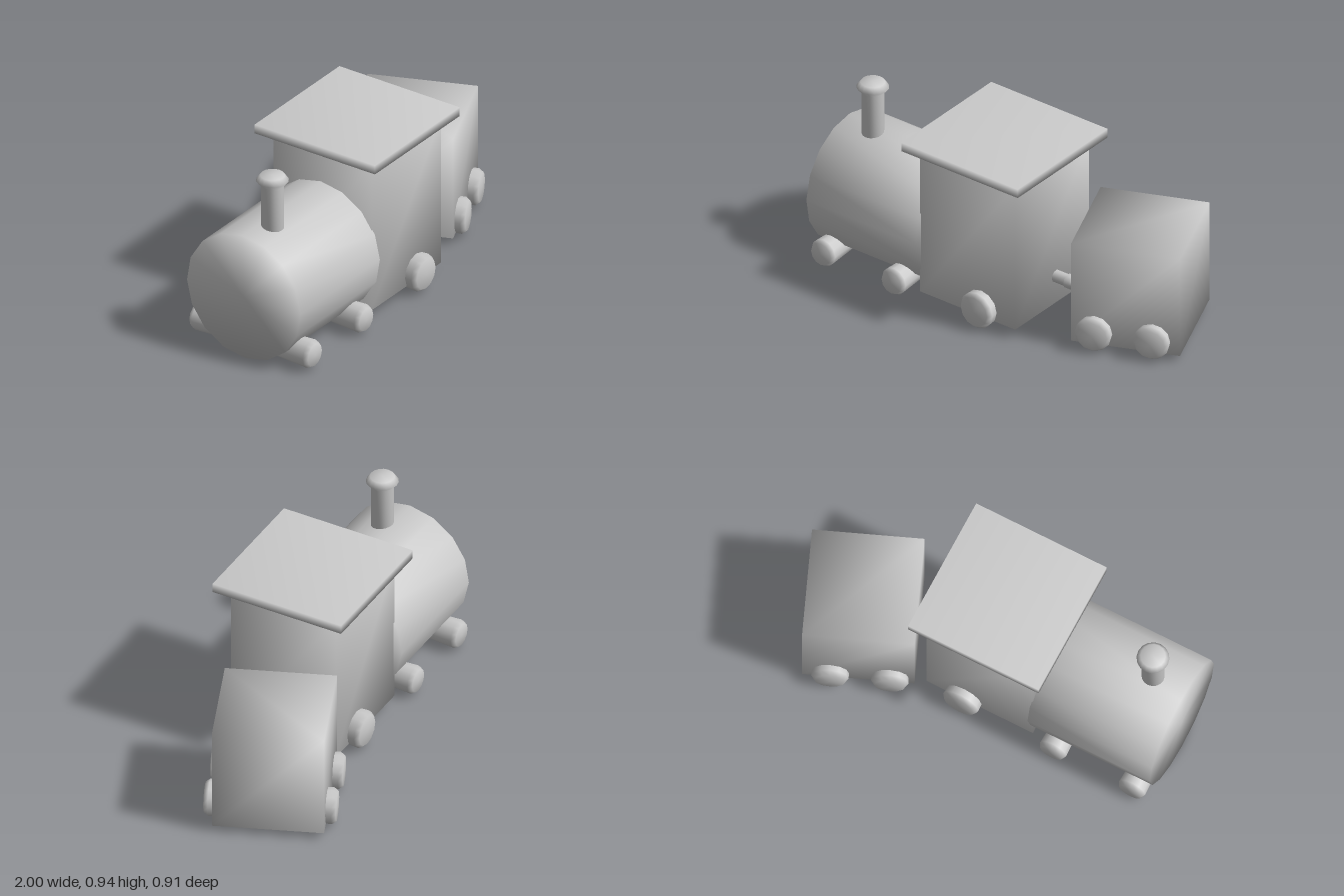
import * as THREE from 'three';
import { mergeVertices } from 'three/addons/utils/BufferGeometryUtils.js';

const material = new THREE.MeshStandardMaterial({ color: 0xcccccc });

// Weld all corners so the shading runs softly over the edges
function soften(geometry) {
  geometry.deleteAttribute('normal');
  geometry.deleteAttribute('uv');
  const welded = mergeVertices(geometry);
  welded.computeVertexNormals();
  return welded;
}

function part(parent, name, geometry, x, y, z) {
  const mesh = new THREE.Mesh(soften(geometry), material);
  mesh.name = name;
  mesh.position.set(x, y, z);
  parent.add(mesh);
  return mesh;
}

function lathe(points, sides) {
  return new THREE.LatheGeometry(points.map(([r, y]) => new THREE.Vector2(r, y)), sides);
}

// Stubby wheel: outer face at z, tapering inwards; side is +1 or -1
function wheel(parent, name, r, x, y, z, side) {
  const geometry = lathe([[0, -0.2], [r * 0.88, -0.2], [r, -0.025], [r * 0.82, -0.003], [0, 0]], 12);
  geometry.rotateX(side * Math.PI / 2);
  part(parent, name, geometry, x, y, z);
}

export function createModel() {
  const train = new THREE.Group();
  train.name = 'toyTrain';

  // Engine, centred on its own z axis
  const engine = new THREE.Group();
  engine.name = 'engine';
  engine.position.z = 0.1;
  train.add(engine);

  const boiler = new THREE.CylinderGeometry(0.335, 0.335, 0.665, 16).rotateZ(Math.PI / 2);
  part(engine, 'boiler', boiler, -0.667, 0.336, 0).rotation.x = -0.03;
  part(engine, 'cab', new THREE.BoxGeometry(0.58, 0.805, 0.58), -0.05, 0.457, 0);
  part(engine, 'roof', new THREE.BoxGeometry(0.71, 0.048, 0.71), -0.05, 0.879, 0);

  // Chimney with a flared cap
  const chimney = [[0, 0.6], [0.056, 0.6], [0.056, 0.888], [0.08, 0.914], [0.06, 0.942], [0, 0.942]];
  part(engine, 'chimney', lathe(chimney, 16), -0.82, 0, 0.043);

  for (const side of [1, -1]) {
    for (const x of [-0.9, -0.47]) wheel(engine, 'boilerWheel', 0.072, x, 0.082, side * 0.353, side);
    wheel(engine, 'cabWheel', 0.096, 0.033, 0.105, side * 0.352, side);
  }

  // Coupling rod with a collar
  const rod = [[0, -0.12], [0.032, -0.12], [0.032, 0.07], [0.037, 0.075],
    [0.037, 0.105], [0.032, 0.11], [0.032, 0.2], [0, 0.2]];
  part(train, 'coupling', lathe(rod, 10).rotateZ(-Math.PI / 2), 0.24, 0.205, 0.07);

  // Wagon, turned as on a bend
  const wagon = new THREE.Group();
  wagon.name = 'wagon';
  wagon.position.set(0.643, 0, -0.075);
  wagon.rotation.y = Math.PI / 8;
  train.add(wagon);
  part(wagon, 'wagonBody', new THREE.BoxGeometry(0.545, 0.547, 0.545), 0, 0.31, 0);
  for (const side of [1, -1]) {
    for (const x of [-0.155, 0.135]) wheel(wagon, 'wagonWheel', 0.091, x, 0.105, side * 0.325, side);
  }

  return train;
}
